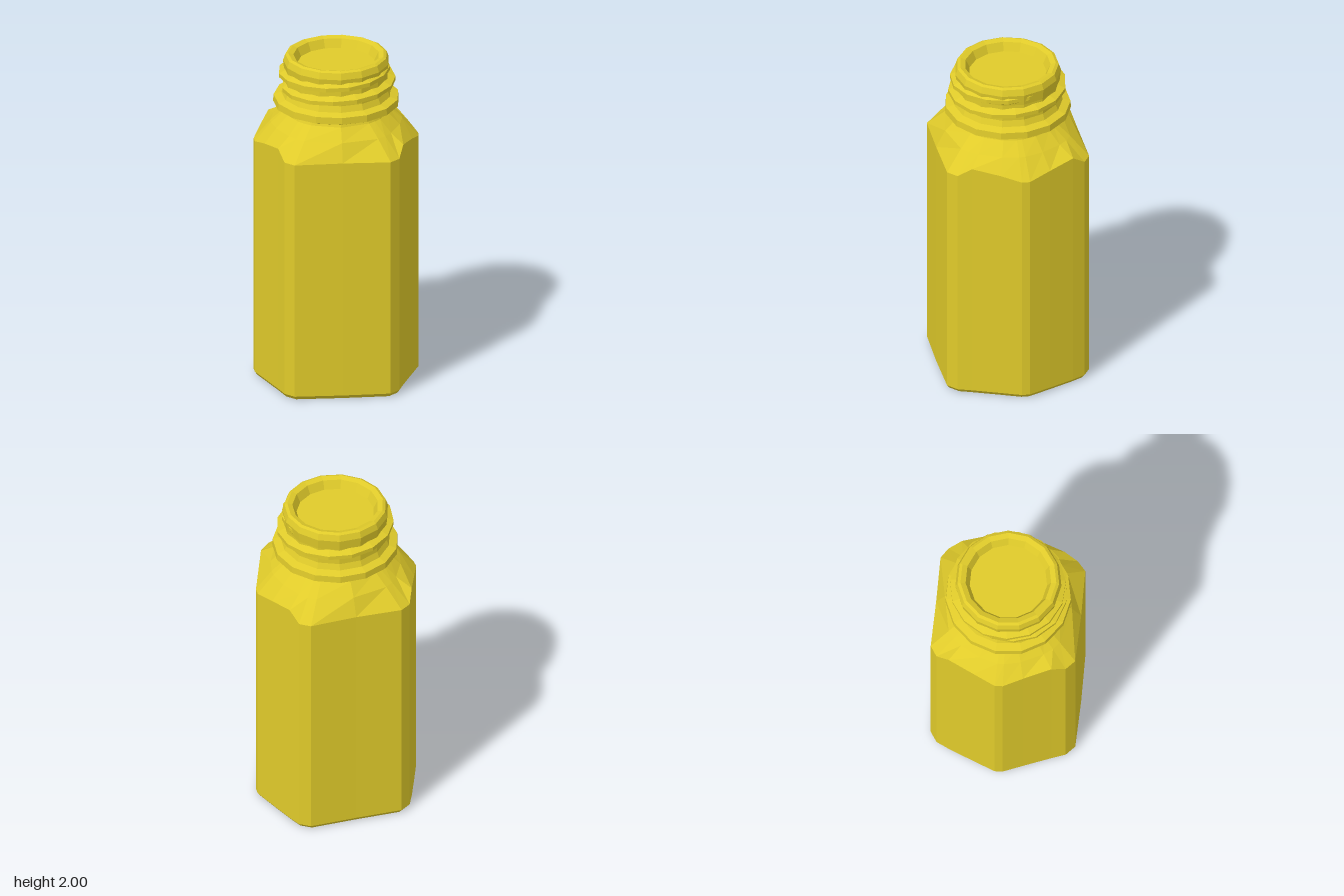
import * as THREE from 'three';

const material = new THREE.MeshStandardMaterial({ color: 0xe0cb2a, flatShading: true, side: THREE.DoubleSide });

// Joins equal-length rings of points into a skin, with optional end caps.
function loft(rings, { closed = true, caps = false } = {}) {
  const n = rings[0].length;
  const pos = rings.flat().flatMap((p) => p.toArray());
  const idx = [];
  for (let i = 0; i < rings.length - 1; i++) {
    for (let j = 0; j < (closed ? n : n - 1); j++) {
      const a = i * n + j, b = i * n + ((j + 1) % n);
      idx.push(a, b, b + n, a, b + n, a + n);
    }
  }
  if (caps) {
    const last = (rings.length - 1) * n;
    for (let j = 1; j < n - 1; j++) idx.push(0, j + 1, j, last, last + j, last + j + 1);
  }
  const g = new THREE.BufferGeometry();
  g.setAttribute('position', new THREE.Float32BufferAttribute(pos, 3));
  g.setIndex(idx);
  const flat = g.toNonIndexed();
  flat.computeVertexNormals();
  return flat;
}

function add(group, name, geometry) {
  const mesh = new THREE.Mesh(geometry, material);
  mesh.name = name;
  group.add(mesh);
}

// Hexagonal outline with clipped corners; each point is [x, z, height of the wall top].
function hexOutline() {
  const right = [
    [0, 0.425, 1.48], [0.28, 0.42, 1.475], [0.335, 0.37, 1.475], [0.365, 0.29, 1.53], [0.43, 0.13, 1.50],
    [0.477, 0.017, 1.47], [0.48, -0.03, 1.47],
    [0.43, -0.16, 1.50], [0.37, -0.31, 1.53], [0.335, -0.385, 1.475], [0.275, -0.425, 1.475], [0, -0.422, 1.48],
  ];
  const left = right.slice(1, -1).reverse().map(([x, z, y]) => [-x, z, y]);
  return [...right, ...left];
}

function bodyGeometry() {
  const outline = hexOutline();
  const wall = (scale, y) => outline.map(([x, z, top]) => new THREE.Vector3(x * scale, y ?? top, z * scale));
  // Shoulder rings blend from the hexagon to the round neck.
  const shoulder = (r, y, round) => outline.map(([x, z]) => {
    const len = Math.hypot(x, z);
    const k = THREE.MathUtils.lerp(0.85, r / len, round);
    return new THREE.Vector3(x * k, y, z * k);
  });
  return loft([
    wall(0.965, 0), wall(1, 0.022), wall(1),
    shoulder(0.375, 1.585, 0.75), shoulder(0.305, 1.655, 1), shoulder(0.285, 1.7, 1),
  ], { caps: true });
}

// Neck with collar, rim and shallow flat-floored mouth.
function neckGeometry() {
  const profile = [
    [0.28, 1.68], [0.345, 1.69], [0.368, 1.70], [0.365, 1.74], [0.32, 1.755], [0.305, 1.79],
    [0.303, 1.89], [0.31, 1.955], [0.297, 1.992], [0.28, 2.0], [0.25, 1.99], [0.226, 1.94], [0, 1.94],
  ].map(([r, y]) => new THREE.Vector2(r, y));
  return new THREE.LatheGeometry(profile, 15);
}

// Screw thread: a wedge section swept up a helix, fading at both ends.
function threadGeometry() {
  const steps = 26, turns = 1.7, rings = [];
  for (let i = 0; i <= steps; i++) {
    const t = i / steps, a = t * turns * Math.PI * 2 - 2.2;
    const fade = Math.min(1, t * 7, (1 - t) * 5);
    const y = 1.795 + t * 0.135;
    const outer = 0.3 + (0.05 - 0.018 * t) * fade;
    const section = [[0.285, -0.032], [outer, -0.012], [outer, 0.012], [0.285, 0.036]];
    rings.push(section.map(([r, dy]) => new THREE.Vector3(Math.sin(a) * r, y + dy, Math.cos(a) * r)));
  }
  // Reverse each section so the outer faces point outward.
  return loft(rings.map((ring) => ring.reverse()), { caps: true });
}

export function createModel() {
  const jar = new THREE.Group();
  jar.name = 'hexagonalJar';
  add(jar, 'body', bodyGeometry());
  add(jar, 'neck', neckGeometry());
  add(jar, 'thread', threadGeometry());
  return jar;
}
